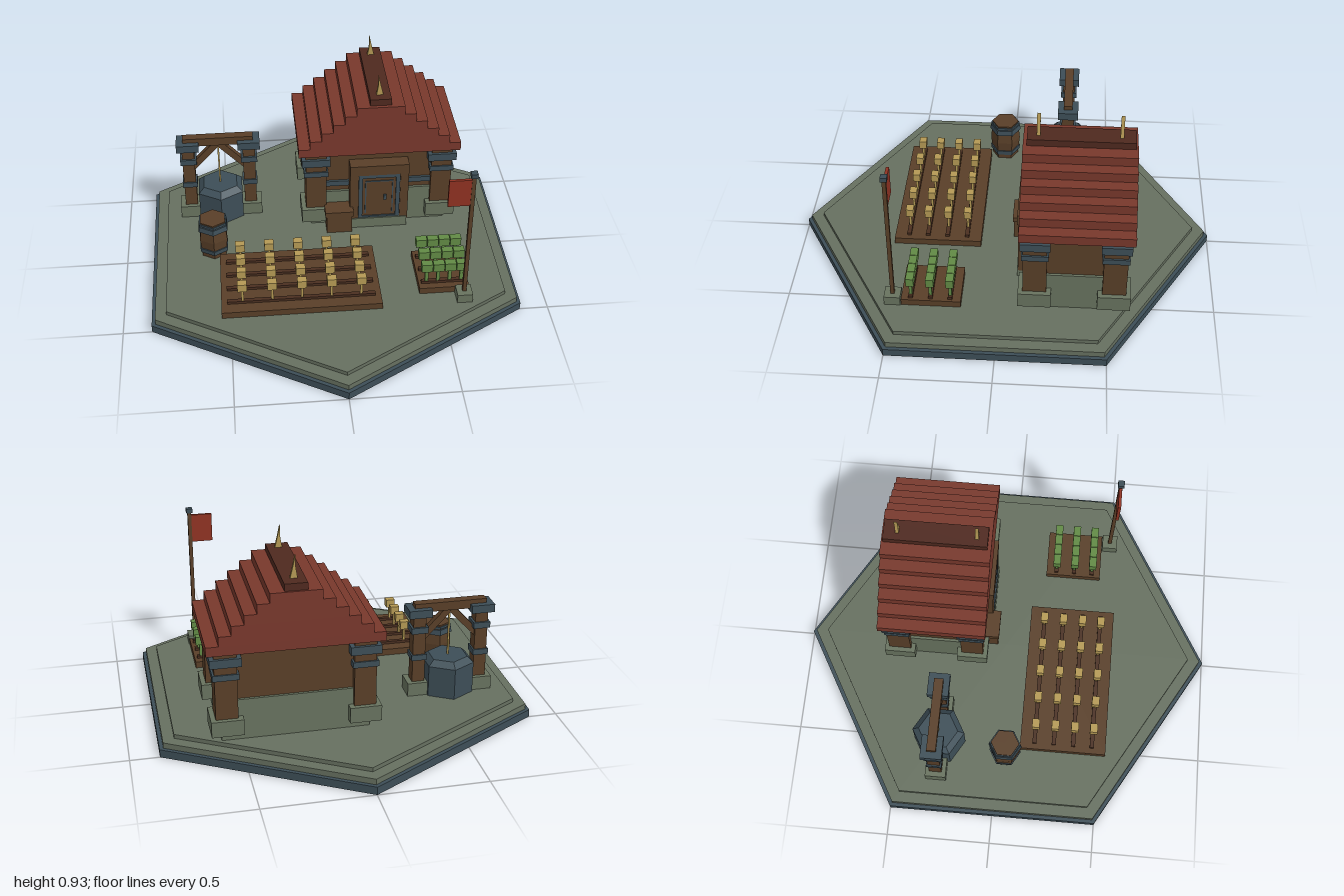
import * as THREE from 'three';

export function createModel() {
  const model = new THREE.Group();
  model.name = 'farmstead';
  const mat = (name, color) => {
    const m = new THREE.MeshStandardMaterial({ color, flatShading: true });
    m.name = name;
    return m;
  };
  const slate = mat('slate', 0x3d4e57);
  const moss = mat('mossy ground', 0x667060);
  const stone = mat('stone', 0x68735f);
  const wood = mat('wood', 0x593f28);
  const darkWood = mat('dark wood', 0x4a2f20);
  const roofRed = mat('roof red', 0x78382c);
  const ridgeRed = mat('ridge brown', 0x4f291f);
  const flagRed = mat('flag red', 0x8f3222);
  const straw = mat('straw', 0xb59a55);
  const leaf = mat('leaf', 0x628b45);

  const group = (name) => {
    const g = new THREE.Group();
    g.name = name;
    model.add(g);
    return g;
  };
  const add = (parent, name, geo, material, x, y, z) => {
    const m = new THREE.Mesh(geo, material);
    m.name = name;
    m.position.set(x, y, z);
    parent.add(m);
    return m;
  };
  // box given by its centre in x and z, and by bottom and top in y
  const box = (p, name, material, x, z, w, d, y0, y1) =>
    add(p, name, new THREE.BoxGeometry(w, y1 - y0, d), material, x, (y0 + y1) / 2, z);
  // hexagonal prism with corners on the z axis
  const hex = (p, name, material, x, z, r0, r1, y0, y1) =>
    add(p, name, new THREE.CylinderGeometry(r1, r0, y1 - y0, 6), material, x, (y0 + y1) / 2, z);

  const G = 0.085; // ground level

  // stepped hexagonal base
  const base = group('base');
  hex(base, 'baseRim', slate, 0, 0, 1, 1, 0, 0.038);
  hex(base, 'lowerGround', moss, 0, 0, 0.98, 0.98, 0.038, 0.065);
  hex(base, 'upperGround', moss, 0, 0, 0.92, 0.92, 0.065, G);

  // house walls
  const house = group('house');
  const hx = 0.26, hz = -0.345;
  box(house, 'stoneWall', stone, hx, hz, 0.67, 0.43, G, 0.28);
  box(house, 'woodWall', wood, hx, hz, 0.645, 0.405, 0.28, 0.522);
  box(house, 'eavesBeam', slate, hx, -0.275, 0.68, 0.09, 0.49, 0.52);
  for (const s of [-1, 1]) {
    box(house, 'frontWallBand', slate, hx + s * 0.2, hz + 0.205, 0.14, 0.02, 0.312, 0.34);
  }

  // corner pillars
  for (const sx of [-1, 1]) for (const sz of [-1, 1]) {
    const x = hx + sx * 0.31, z = hz + sz * 0.18;
    box(house, 'pillarBase', stone, x, z, 0.145, 0.15, 0.125, 0.2);
    box(house, 'pillar', wood, x, z, 0.1, 0.108, 0.2, 0.522);
    box(house, 'pillarBand', slate, x, z, 0.118, 0.122, 0.39, 0.418);
    box(house, 'pillarCap', slate, x, z, 0.14, 0.135, 0.455, 0.495);
  }

  // stepped roof, ridge and horns
  const roof = group('roof');
  const step = 0.0448;
  for (let i = 0; i < 6; i++) {
    box(roof, 'roofStep', roofRed, hx, -0.348, 0.79 - i * 0.112, 0.512, 0.52 + i * step, 0.52 + (i + 1) * step);
  }
  box(roof, 'roofRidge', ridgeRed, hx, -0.352, 0.102, 0.485, 0.785, 0.822);
  const horn = new THREE.Shape();
  horn.moveTo(-0.017, 0);
  horn.lineTo(0.016, 0);
  horn.lineTo(0.004, 0.05);
  horn.lineTo(-0.008, 0.105);
  horn.lineTo(-0.009, 0.05);
  const hornGeo = new THREE.ExtrudeGeometry(horn, { depth: 0.016, bevelEnabled: false });
  for (const z of [-0.168, -0.538]) add(roof, 'roofHorn', hornGeo, straw, hx, 0.822, z);

  // doorway
  const door = group('door');
  box(door, 'doorStep', stone, hx, -0.12, 0.28, 0.09, G, 0.14);
  box(door, 'doorSurround', wood, hx, -0.13, 0.25, 0.09, 0.13, 0.41);
  for (const s of [-1, 1]) box(door, 'doorJamb', wood, hx + s * 0.125, -0.13, 0.04, 0.1, 0.125, 0.41);
  box(door, 'doorLintel', wood, hx, -0.13, 0.29, 0.11, 0.405, 0.46);
  box(door, 'doorFrameTop', slate, hx, -0.085, 0.205, 0.014, 0.385, 0.41);
  box(door, 'doorFrameSill', slate, hx, -0.085, 0.205, 0.014, 0.143, 0.152);
  for (const s of [-1, 1]) {
    box(door, 'doorFrameSide', slate, hx + s * 0.0925, -0.085, 0.02, 0.014, 0.145, 0.4);
    box(door, 'doorPanelSide', slate, hx + s * 0.067, -0.084, 0.006, 0.006, 0.17, 0.365);
  }
  box(door, 'doorPanelTop', slate, hx, -0.084, 0.14, 0.006, 0.36, 0.366);
  box(door, 'doorHandle', slate, hx + 0.03, -0.082, 0.014, 0.012, 0.25, 0.28);

  // crate beside the door
  const crate = group('crate');
  box(crate, 'crateBody', wood, 0.06, -0.095, 0.125, 0.1, G, 0.2);
  box(crate, 'crateLid', wood, 0.06, -0.095, 0.14, 0.11, 0.185, 0.212);

  // well with a timber hoist
  const well = group('well');
  const wx = -0.522, wz = -0.287;
  hex(well, 'wellBody', slate, wx, wz, 0.126, 0.126, G, 0.238);
  hex(well, 'wellRim', slate, wx, wz, 0.126, 0.095, 0.238, 0.265);
  for (const s of [-1, 1]) {
    const x = wx + s * 0.15;
    box(well, 'wellPostBase', stone, x, wz, 0.11, 0.1, G, 0.15);
    box(well, 'wellPost', wood, x, wz, 0.06, 0.06, 0.15, 0.49);
    box(well, 'wellLowerBand', slate, x, wz, 0.074, 0.074, 0.262, 0.29);
    box(well, 'wellUpperBand', slate, x, wz, 0.08, 0.08, 0.4, 0.43);
    box(well, 'wellPostCap', slate, x, wz, 0.11, 0.1, 0.483, 0.522);
    const brace = box(well, 'wellBrace', wood, wx + s * 0.073, wz, 0.19, 0.03, 0.415, 0.447);
    brace.rotation.z = -s * 0.82;
  }
  box(well, 'wellBeam', wood, wx, wz, 0.345, 0.043, 0.5, 0.543);
  box(well, 'wellRope', straw, wx, wz, 0.008, 0.008, 0.26, 0.5);

  // barrel
  const barrel = group('barrel');
  const bx = -0.565, bz = 0.04;
  hex(barrel, 'barrelLower', wood, bx, bz, 0.066, 0.076, G, 0.185);
  hex(barrel, 'barrelUpper', wood, bx, bz, 0.076, 0.066, 0.185, 0.283);
  hex(barrel, 'barrelLid', wood, bx, bz, 0.068, 0.068, 0.281, 0.288);
  hex(barrel, 'barrelLowerHoop', slate, bx, bz, 0.074, 0.077, 0.11, 0.135);
  hex(barrel, 'barrelUpperHoop', slate, bx, bz, 0.08, 0.076, 0.238, 0.265);
  hex(barrel, 'barrelTopHoop', slate, bx, bz, 0.074, 0.074, 0.27, 0.281);

  // wheat field
  const field = group('wheatField');
  box(field, 'fieldSoil', wood, -0.167, 0.32, 0.745, 0.42, G, 0.117);
  for (const z of [0.18, 0.275, 0.37, 0.462]) {
    box(field, 'fieldFurrow', darkWood, -0.167, z, 0.69, 0.02, 0.115, 0.13);
    for (let i = 0; i < 5; i++) {
      const x = -0.44 + i * 0.138;
      box(field, 'wheatStalk', straw, x, z, 0.012, 0.012, 0.125, 0.2);
      box(field, 'wheatHead', straw, x, z, 0.044, 0.036, 0.195, 0.236);
    }
  }

  // vegetable bed
  const bed = group('vegetableBed');
  box(bed, 'bedSoil', wood, 0.508, 0.308, 0.235, 0.275, G, 0.117);
  for (const z of [0.22, 0.311, 0.402]) {
    box(bed, 'bedFurrow', darkWood, 0.508, z, 0.21, 0.02, 0.115, 0.13);
    for (let i = 0; i < 4; i++) {
      const x = 0.427 + i * 0.055;
      box(bed, 'plantStalk', leaf, x, z, 0.016, 0.014, 0.125, 0.2);
      box(bed, 'plantHead', leaf, x, z, 0.052, 0.036, 0.193, 0.236);
    }
  }

  // flag on its pole
  const flag = group('flag');
  const fx = 0.593, fz = 0.486;
  box(flag, 'flagBase', stone, fx, fz, 0.072, 0.075, G, 0.13);
  box(flag, 'flagPole', wood, fx, fz, 0.018, 0.018, 0.13, 0.79);
  box(flag, 'flagPoleCap', slate, fx, fz, 0.03, 0.03, 0.788, 0.81);
  box(flag, 'flagCloth', flagRed, 0.536, fz, 0.104, 0.014, 0.635, 0.775);

  return model;
}
